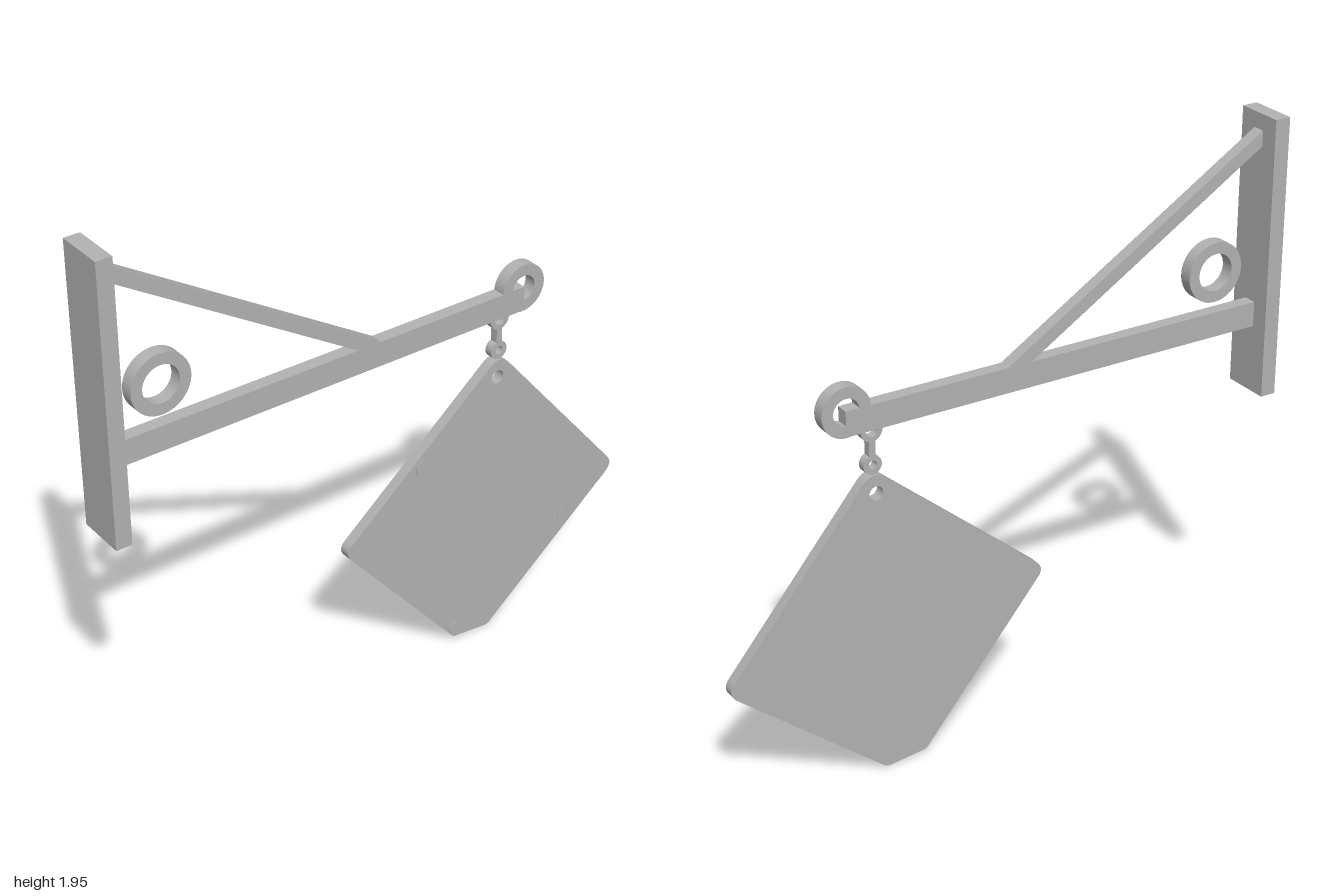
import * as THREE from 'three';

const grey = new THREE.MeshStandardMaterial({ color: 0xb2b2b2 });
grey.name = 'grey metal';

export function createModel() {
  const model = new THREE.Group();
  model.name = 'hangingSign';

  const add = (name, geometry, x = 0, y = 0, z = 0) => {
    const mesh = new THREE.Mesh(geometry, grey);
    mesh.name = name;
    mesh.position.set(x, y, z);
    model.add(mesh);
    return mesh;
  };

  // Extrudes a shape to a given thickness, centred on z = 0
  const plate = (shape, depth) =>
    new THREE.ExtrudeGeometry(shape, { depth, bevelEnabled: false, curveSegments: 24 })
      .translate(0, 0, -depth / 2);

  const circleHole = (shape, x, y, r) => {
    const hole = new THREE.Path();
    hole.absarc(x, y, r, 0, Math.PI * 2, true);
    shape.holes.push(hole);
  };

  const ring = (name, x, y, outer, inner, depth) => {
    const shape = new THREE.Shape();
    shape.absarc(0, 0, outer, 0, Math.PI * 2, false);
    circleHole(shape, 0, 0, inner);
    return add(name, plate(shape, depth), x, y);
  };

  // Polygon whose corners [x, y, cut] are rounded by a quadratic curve
  const roundedPolygon = (corners) => {
    const shape = new THREE.Shape();
    const n = corners.length;
    corners.forEach(([x, y, cut], i) => {
      const p = new THREE.Vector2(x, y);
      const toward = (q) =>
        new THREE.Vector2(q[0], q[1]).sub(p).setLength(cut).add(p);
      const a = toward(corners[(i + n - 1) % n]);
      const b = toward(corners[(i + 1) % n]);
      if (i === 0) shape.moveTo(a.x, a.y);
      else shape.lineTo(a.x, a.y);
      shape.quadraticCurveTo(x, y, b.x, b.y);
    });
    shape.closePath();
    return shape;
  };

  // Wall post and horizontal beam
  add('wallPost', new THREE.BoxGeometry(0.055, 0.96, 0.17), -0.9725, 1.475, 0);
  add('beam', new THREE.BoxGeometry(1.527, 0.086, 0.046), -0.1835, 1.271, 0);

  // Diagonal brace, cut flush with the post and the beam
  const brace = new THREE.Shape([
    [-0.947, 1.85], [-0.077, 1.313], [0.01, 1.313], [-0.947, 1.903],
  ].map(([x, y]) => new THREE.Vector2(x, y)));
  add('brace', plate(brace, 0.044));

  // Decorative rings
  ring('bracketRing', -0.78, 1.455, 0.103, 0.064, 0.046);
  ring('endRing', 0.577, 1.31, 0.084, 0.045, 0.045);

  // Hanging link: two eyes joined by a shank
  ring('linkUpperEye', 0.489, 1.223, 0.037, 0.021, 0.029);
  add('linkShank', new THREE.BoxGeometry(0.022, 0.07, 0.029), 0.489, 1.165, 0);
  ring('linkLowerEye', 0.489, 1.107, 0.032, 0.014, 0.029);

  // Sign board, hung by one corner, with the lowest corner clipped
  const board = roundedPolygon([
    [0.493, 1.093, 0.055],
    [-0.134, 0.563, 0.04],
    [0.323, 0.02, 0.008],
    [0.471, 0.004, 0.012],
    [1.02, 0.464, 0.045],
  ]);
  circleHole(board, 0.482, 1.01, 0.024);
  add('signBoard', plate(board, 0.039));

  // Slight raised studs on the board's face
  [[0.185, 0.775, 0.032], [0.33, 0.055, 0.025], [0.79, 0.345, 0.016]].forEach(([x, y, r]) => {
    const stud = new THREE.CylinderGeometry(r, r, 0.006, 20).rotateX(Math.PI / 2);
    add('boardStud', stud, x, y, 0.0195);
  });

  return model;
}
